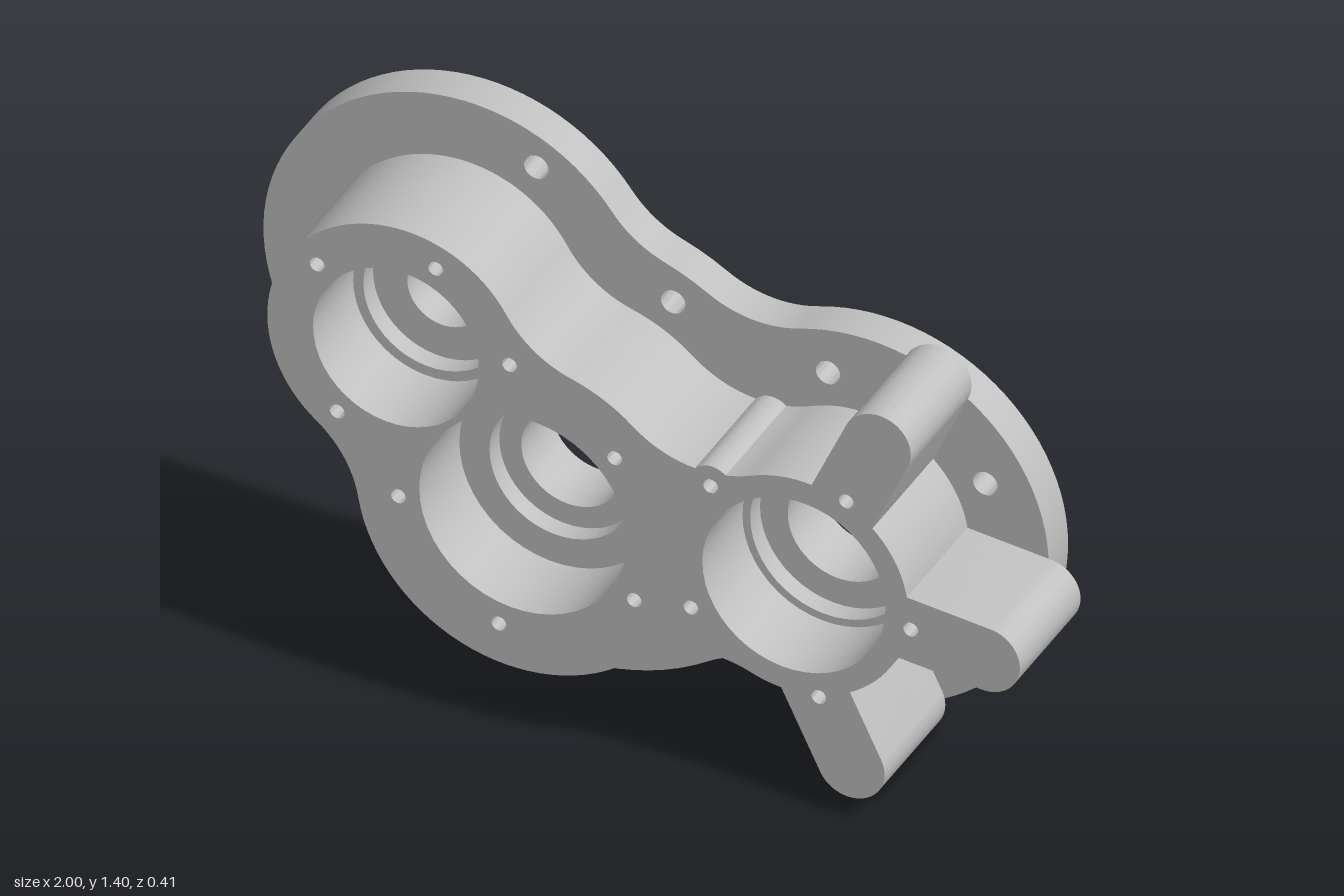
import * as THREE from 'three';
import { toCreasedNormals } from 'three/addons/utils/BufferGeometryUtils.js';

const BACK = -0.206, PLATE = -0.106, STEP = -0.05, FLOOR = 0, FRONT = 0.206;
const TAU = Math.PI * 2, FILLET = 0.28;

// The three shaft axes: through-hole, bearing seat and front bore radii
const shafts = [
  { x: -0.527, y: 0.931, plate: 0.473, body: 0.315, bores: [0.094, 0.178, 0.203] },
  { x: -0.216, y: 0.577, plate: 0.573, body: 0.409, bores: [0.126, 0.18, 0.254] },
  { x: 0.447, y: 0.577, plate: 0.475, body: 0.28, bores: [0.137, 0.205, 0.224] },
];
const arms = [
  { x: 0.586, y: 0.139, a: -64 }, { x: 0.917, y: 0.513, a: -7.5 }, { x: 0.65, y: 1.0, a: 65 },
];
const ARM_R = 0.083;
const boss = { x: 0.243, y: 0.781, r: 0.053 };
const screwHoles = [
  [-0.72, 1.096], [-0.43, 1.166], [-0.249, 0.963], [-0.671, 0.722], [-0.521, 0.54],
  [-0.275, 0.273], [0.056, 0.428], [0.008, 0.789], [0.243, 0.781], [0.575, 0.834],
  [0.733, 0.54], [0.508, 0.299], [0.195, 0.447],
];
const plateHoles = [
  [-0.332, 1.278], [0.003, 1.016], [0.382, 0.936], [0.767, 0.751], [0.719, 0.334], [0.302, 0.243],
];

const angle = (c, p) => Math.atan2(p.y - c.y, p.x - c.x);

function arc(points, c, r, a0, a1) {
  const n = Math.max(3, Math.ceil(Math.abs(a1 - a0) / 0.07));
  for (let i = 0; i <= n; i++) {
    const a = a0 + (a1 - a0) * i / n;
    points.push(new THREE.Vector2(c.x + r * Math.cos(a), c.y + r * Math.sin(a)));
  }
}

// Centre of the concave fillet touching circles p and q, on the right of p -> q
function filletCentre(p, q, rp, rq) {
  const dx = q.x - p.x, dy = q.y - p.y, d = Math.hypot(dx, dy);
  const R = rp + FILLET, S = rq + FILLET;
  const a = (R * R - S * S + d * d) / (2 * d), h = Math.sqrt(R * R - a * a);
  return { x: p.x + (a * dx + h * dy) / d, y: p.y + (a * dy - h * dx) / d };
}

// Angle where an arm edge (side -1 or 1) meets the circle c of radius r
function armFoot(arm, side, c, r) {
  const t = arm.a * Math.PI / 180, ux = Math.cos(t), uy = Math.sin(t);
  const off = -(arm.x - c.x) * uy + (arm.y - c.y) * ux + side * ARM_R;
  return t + Math.asin(off / r);
}

// Outline: circles joined by fillets; the body also has arms and a screw boss
function outline(key) {
  const [A, B, C] = shafts, loop = [C, B, A, B], points = [];
  const fillets = loop.map((p, i) => {
    const q = loop[(i + 1) % 4];
    return filletCentre(p, q, p[key], q[key]);
  });
  loop.forEach((c, i) => {
    const next = loop[(i + 1) % 4], f = fillets[i];
    let a0 = angle(c, fillets[(i + 3) % 4]), a1 = angle(c, f);
    if (a1 < a0) a1 += TAU;
    if (key === 'body' && c === C) {
      for (const arm of arms) {
        const t = arm.a * Math.PI / 180;
        arc(points, c, c.body, a0, armFoot(arm, -1, c, c.body));
        arc(points, arm, ARM_R, t - Math.PI / 2, t + Math.PI / 2);
        a0 = armFoot(arm, 1, c, c.body);
      }
    }
    arc(points, c, c[key], a0, a1);

    let b0 = angle(f, c), b1 = angle(f, next);
    if (b1 > b0) b1 -= TAU;
    if (key === 'body' && i === 0) {
      const d = Math.hypot(boss.x - f.x, boss.y - f.y), m = angle(f, boss);
      const half = Math.acos((d * d + FILLET * FILLET - boss.r * boss.r) / (2 * d * FILLET));
      const at = (a) => ({ x: f.x + FILLET * Math.cos(a), y: f.y + FILLET * Math.sin(a) });
      const mid = m > b0 ? m - TAU : m;
      let s0 = angle(boss, at(mid + half)), s1 = angle(boss, at(mid - half));
      if (s1 < s0) s1 += TAU;
      arc(points, f, FILLET, b0, mid + half);
      arc(points, boss, boss.r, s0, s1);
      b0 = mid - half;
    }
    arc(points, f, FILLET, b0, b1);
  });
  return points.filter((p, i) => p.distanceTo(points[(i + 1) % points.length]) > 1e-4);
}

export function createModel() {
  const group = new THREE.Group();
  const metal = new THREE.MeshStandardMaterial({ color: 0xbfbfbf });
  metal.name = 'grey metal';

  const add = (name, geometry) => {
    const mesh = new THREE.Mesh(geometry, metal);
    mesh.name = name;
    group.add(mesh);
    return mesh;
  };

  // One slab of the casting between two depths, pierced by round holes
  const slab = (name, points, z0, z1, bore, holes, holeR) => {
    const shape = new THREE.Shape(points);
    const pierce = (x, y, r) =>
      shape.holes.push(new THREE.Path().absarc(x, y, r, 0, TAU, true));
    shafts.forEach((s) => pierce(s.x, s.y, s.bores[bore]));
    holes.forEach(([x, y]) => pierce(x, y, holeR));
    const geometry = new THREE.ExtrudeGeometry(shape, {
      depth: z1 - z0, bevelEnabled: false, curveSegments: 24,
    });
    geometry.translate(0, 0, z0);
    add(name, toCreasedNormals(geometry, 0.5));
  };

  const body = outline('body');
  slab('basePlate', outline('plate'), BACK, PLATE, 0, plateHoles, 0.03);
  slab('housingRear', body, PLATE, STEP, 0, [], 0);
  slab('housingBearingSeats', body, STEP, FLOOR, 1, [], 0);
  slab('housingFront', body, FLOOR, FRONT, 2, screwHoles, 0.018);

  // Conical back ends of the arms
  for (const arm of arms) {
    const cone = new THREE.ConeGeometry(ARM_R, 0.053, 40);
    cone.rotateX(-Math.PI / 2);
    add('armCone', cone).position.set(arm.x, arm.y, PLATE - 0.0265);
  }
  return group;
}
